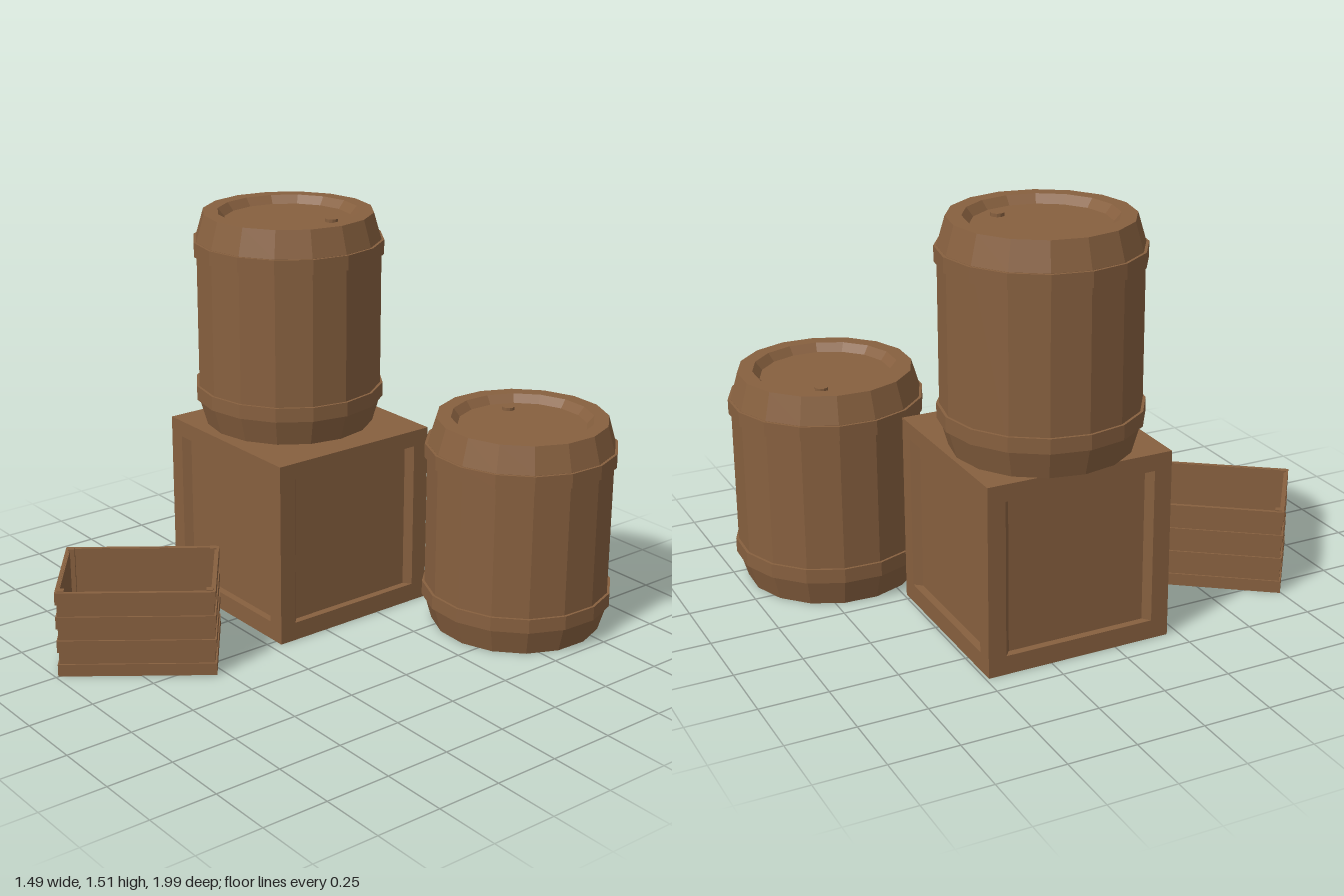
import * as THREE from 'three';

const wood = new THREE.MeshStandardMaterial({ color: 0x87603f, flatShading: true });
wood.name = 'brownWood';

function add(parent, name, geometry, x = 0, y = 0, z = 0) {
  const mesh = new THREE.Mesh(geometry, wood);
  mesh.name = name;
  mesh.position.set(x, y, z);
  parent.add(mesh);
  return mesh;
}

function namedGroup(parent, name, x, y, z, turn = 0) {
  const g = new THREE.Group();
  g.name = name;
  g.position.set(x, y, z);
  g.rotation.y = turn;
  parent.add(g);
  return g;
}

// Extrudes a floor-plan shape straight up from y = 0
function extrudeUp(shape, height) {
  return new THREE.ExtrudeGeometry(shape, { depth: height, bevelEnabled: false }).rotateX(-Math.PI / 2);
}

const lathe = (points) => new THREE.LatheGeometry(points.map(([r, y]) => new THREE.Vector2(r, y)), 16);

function rectPoints(w, d) {
  return [[-w, -d], [w, -d], [w, d], [-w, d]].map(([x, y]) => new THREE.Vector2(x / 2, y / 2));
}

// Rectangular wall ring
function ring(w, d, thickness, height) {
  const shape = new THREE.Shape(rectPoints(w, d));
  shape.holes.push(new THREE.Path(rectPoints(w - 2 * thickness, d - 2 * thickness).reverse()));
  return extrudeUp(shape, height);
}

function barrel(parent, name, x, y, z, turn) {
  const g = namedGroup(parent, name, x, y, z, turn);
  // Staved body with sunken heads at both ends
  add(g, 'barrelBody', lathe([
    [0, 0.03], [0.24, 0.03], [0.265, 0], [0.32, 0], [0.349, 0.1],
    [0.349, 0.71], [0.32, 0.81], [0.265, 0.81], [0.24, 0.78], [0, 0.78],
  ]));
  // Hoops
  for (const hy of [0.1, 0.655]) {
    add(g, 'barrelHoop', lathe([[0.34, 0], [0.359, 0], [0.359, 0.054], [0.34, 0.054]]), 0, hy, 0);
  }
  // Bung in the top head
  add(g, 'barrelBung', new THREE.CylinderGeometry(0.024, 0.024, 0.012, 12), 0.143, 0.786, -0.093);
}

function largeCrate(parent) {
  const g = namedGroup(parent, 'largeCrate', -0.315, 0, -0.14);
  const size = 0.698, h = size / 2;
  // Bottom and top frame slabs
  add(g, 'crateBase', new THREE.BoxGeometry(size, 0.07, size), 0, 0.035, 0);
  add(g, 'crateTop', new THREE.BoxGeometry(size, 0.062, size), 0, 0.671, 0);
  // Middle with a recessed, side-bevelled panel on each face
  const plan = [];
  for (let i = 0; i < 4; i++) {
    for (const [x, y] of [[-h, -h], [-0.283, -h], [-0.26, -h + 0.028], [0.26, -h + 0.028], [0.283, -h]]) {
      plan.push(new THREE.Vector2(x, y).rotateAround(new THREE.Vector2(), i * Math.PI / 2));
    }
  }
  add(g, 'cratePanels', extrudeUp(new THREE.Shape(plan), 0.57), 0, 0.07, 0);
}

function smallCrate(parent) {
  const g = namedGroup(parent, 'smallOpenCrate', -0.247, 0, 0.64, -0.639);
  const w = 0.41, d = 0.568, band = 0.0465;
  // Inner walls and raised floor
  add(g, 'smallCrateWalls', ring(w - 0.012, d - 0.012, 0.01, 7 * band - 0.002), 0, 0.001, 0);
  add(g, 'smallCrateFloor', new THREE.BoxGeometry(w - 0.03, 0.012, d - 0.03), 0, 0.036, 0);
  // Four proud plank courses
  for (let i = 0; i < 4; i++) {
    add(g, 'smallCratePlanks', ring(w, d, 0.012, band), 0, i * 2 * band, 0);
  }
  // Corner posts
  for (const sx of [-1, 1]) for (const sz of [-1, 1]) {
    add(g, 'smallCratePost', new THREE.BoxGeometry(0.024, 0.3, 0.024),
      sx * (w / 2 - 0.021), 0.18, sz * (d / 2 - 0.021));
  }
}

export function createModel() {
  const model = new THREE.Group();
  model.name = 'barrelsAndCrates';
  largeCrate(model);
  barrel(model, 'stackedBarrel', -0.388, 0.702, -0.15, 0);
  barrel(model, 'standingBarrel', 0.385, 0, -0.643, THREE.MathUtils.degToRad(121.5));
  smallCrate(model);
  return model;
}
